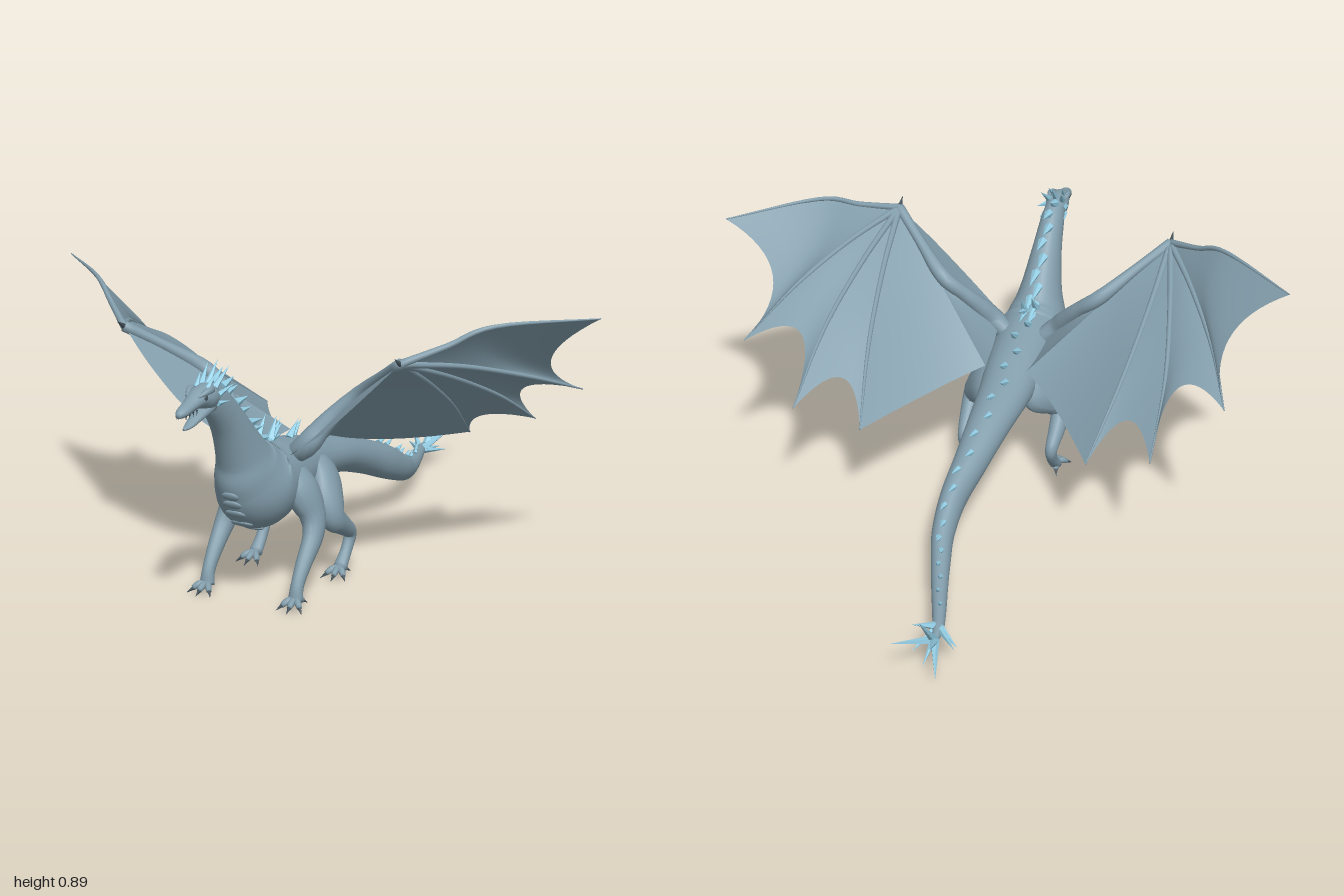
import * as THREE from 'three';

const V = (x, y, z) => new THREE.Vector3(x, y, z);
const UP = V(0, 1, 0);

export function createModel() {
  const model = new THREE.Group();
  model.name = 'wingedReptile';

  const mat = (name, color, opts = {}) => {
    const m = new THREE.MeshStandardMaterial({ color, ...opts });
    m.name = name;
    return m;
  };
  const skin = mat('slate skin', 0x839eac, { side: THREE.DoubleSide });
  const crystal = mat('pale blue spine', 0x9fdcf4, { flatShading: true });
  const clawDark = mat('dark claw', 0x47555e);

  const add = (parent, name, geo, material) => {
    const mesh = new THREE.Mesh(geo, material);
    mesh.name = name;
    parent.add(mesh);
    return mesh;
  };

  // Smooth spine with an elliptical section; each row is [x, y, z, halfWidth, halfHeight]
  function spine(rows) {
    const path = new THREE.CatmullRomCurve3(rows.map(r => V(r[0], r[1], r[2])), false, 'catmullrom', 0.5);
    const size = new THREE.CatmullRomCurve3(rows.map(r => V(r[3], r[4] ?? r[3], 0)), false, 'catmullrom', 0.5);
    return t => {
      const p = path.getPoint(t), s = size.getPoint(t), dir = path.getTangent(t);
      const side = V(1, 0, 0).addScaledVector(dir, -dir.x).normalize();
      return { p, dir, side, up: dir.clone().cross(side), rx: s.x, ry: s.y };
    };
  }

  // Closed skin around a spine
  function loft(rows, steps = 5, sides = 12) {
    const at = spine(rows), n = (rows.length - 1) * steps, pos = [], idx = [];
    for (let i = 0; i <= n; i++) {
      const f = at(i / n);
      for (let j = 0; j < sides; j++) {
        const a = j / sides * Math.PI * 2;
        const q = f.p.clone().addScaledVector(f.side, Math.cos(a) * f.rx).addScaledVector(f.up, Math.sin(a) * f.ry);
        pos.push(q.x, q.y, q.z);
      }
    }
    for (let i = 0; i < n; i++) for (let j = 0; j < sides; j++) {
      const k = (j + 1) % sides, a = i * sides, b = a + sides;
      idx.push(a + j, a + k, b + j, a + k, b + k, b + j);
    }
    const first = pos.length / 3, s = at(0).p, e = at(1).p;
    pos.push(s.x, s.y, s.z, e.x, e.y, e.z);
    for (let j = 0; j < sides; j++) {
      const k = (j + 1) % sides;
      idx.push(first, k, j, first + 1, n * sides + j, n * sides + k);
    }
    return surface(pos, idx);
  }

  function surface(pos, idx) {
    const g = new THREE.BufferGeometry();
    g.setAttribute('position', new THREE.Float32BufferAttribute(pos, 3));
    g.setIndex(idx);
    g.computeVertexNormals();
    return g;
  }

  // Pointed cone from base to tip
  function spike(parent, name, base, tip, r, material = crystal, sides = 5) {
    const d = tip.clone().sub(base), len = d.length();
    const mesh = add(parent, name, new THREE.ConeGeometry(r, len, sides).translate(0, len / 2, 0), material);
    mesh.position.copy(base);
    mesh.quaternion.setFromUnitVectors(UP, d.normalize());
  }

  // Tail, trunk and neck
  const bodyRows = [
    [-0.07, 0.07, -0.86, 0.004], [-0.065, 0.073, -0.78, 0.016], [-0.045, 0.074, -0.7, 0.021, 0.023],
    [-0.01, 0.083, -0.58, 0.026, 0.029], [0.02, 0.103, -0.47, 0.031, 0.038], [0.042, 0.14, -0.37, 0.036, 0.046],
    [0.044, 0.195, -0.25, 0.043, 0.056], [0.026, 0.25, -0.12, 0.055, 0.057], [0.01, 0.302, 0.03, 0.07, 0.06],
    [0, 0.333, 0.18, 0.086, 0.068], [0, 0.352, 0.32, 0.1, 0.09], [0, 0.355, 0.45, 0.113, 0.118],
    [0, 0.358, 0.55, 0.12, 0.137], [0, 0.42, 0.612, 0.094, 0.118], [0, 0.49, 0.65, 0.07, 0.086],
    [0, 0.6, 0.72, 0.05, 0.06], [0, 0.688, 0.8, 0.038, 0.048], [0, 0.71, 0.855, 0.028, 0.028]];
  add(model, 'body', loft(bodyRows, 6, 24), skin);

  // Spines along the back, alternating sides: shrinking to the tail, long on neck and shoulders
  const at = spine(bodyRows), last = bodyRows.length - 1;
  for (let i = 2.2, k = 0; i < 16.3; i += i < 10.9 ? 0.48 : 0.38, k++) {
    const f = at(i / last), tail = i < 10.9, w = k % 2 ? 1 : -1;
    const size = tail ? 0.03 + 0.05 * (i - 2.2) / 8.7 : 0.1 - 0.008 * Math.abs(i - 13);
    const base = f.p.clone().addScaledVector(f.up, f.ry * 0.95).addScaledVector(f.side, w * f.rx * 0.13);
    const dir = f.up.clone().multiplyScalar(tail ? 0.6 : 0.8).addScaledVector(f.dir, tail ? -0.8 : -0.6).normalize();
    spike(model, tail ? 'tailSpine' : 'neckSpine', base, base.clone().addScaledVector(dir, size), tail ? 0.004 + size * 0.14 : 0.016);
  }

  // Low overlapping chest plates
  for (let i = 11.3; i < 13.2; i += 0.3) {
    const f = at(i / last);
    const plate = add(model, 'chestPlate', new THREE.SphereGeometry(1, 14, 8), skin);
    plate.position.copy(f.p).addScaledVector(f.up, -f.ry * 0.97);
    plate.scale.set(f.rx * 0.32, 0.008, 0.018);
    plate.quaternion.setFromUnitVectors(V(0, 0, 1), f.dir);
  }

  // Cluster of crystal spikes at the tail end
  const tailTips = [[-0.125, 0.065, -1], [0.02, 0.15, -0.975], [-0.06, 0.22, -0.945], [-0.15, 0.1, -0.89],
    [-0.145, 0.07, -0.84], [0, 0.12, -0.83], [-0.01, 0.05, -0.87], [-0.1, 0.15, -0.97], [-0.06, 0.04, -0.92]];
  tailTips.forEach((p, i) => spike(model, 'tailTipSpike',
    i < 3 || i === 7 ? V(-0.068, 0.07, -0.82) : V(-0.06, 0.073, -0.755), V(...p), 0.015));

  // Head
  const head = new THREE.Group();
  head.name = 'head';
  model.add(head);
  add(head, 'skull', loft([[0, 0.7, 0.79, 0.025, 0.03], [0, 0.71, 0.84, 0.04, 0.04], [0, 0.716, 0.885, 0.034, 0.03],
    [0, 0.707, 0.93, 0.024, 0.019], [0, 0.697, 0.975, 0.019, 0.015], [0, 0.692, 0.999, 0.008]], 5, 16), skin);
  add(head, 'lowerJaw', loft([[0, 0.682, 0.83, 0.03, 0.024], [0, 0.664, 0.89, 0.022, 0.014],
    [0, 0.648, 0.94, 0.014, 0.008], [0, 0.645, 0.968, 0.004]], 5, 12), skin);
  for (const s of [-1, 1]) {
    add(head, 'brow', loft([[s * 0.028, 0.735, 0.85, 0.008], [s * 0.03, 0.738, 0.88, 0.01],
      [s * 0.019, 0.728, 0.915, 0.003]], 4, 8), skin);
    const eye = add(head, 'eye', new THREE.SphereGeometry(0.008, 10, 8), clawDark);
    eye.position.set(s * 0.031, 0.722, 0.892);
    eye.scale.x = 0.5;
    for (let i = 0; i < 4; i++) {
      const z = 0.92 + i * 0.02;
      spike(head, 'tooth', V(s * 0.016, 0.692, z), V(s * 0.015, 0.676, z), 0.003, clawDark, 4);
    }
    // Horns and cheek spines
    spike(head, 'horn', V(s * 0.022, 0.735, 0.83), V(s * 0.036, 0.788, 0.765), 0.012);
    spike(head, 'horn', V(s * 0.018, 0.74, 0.865), V(s * 0.025, 0.778, 0.825), 0.009);
    spike(head, 'cheekSpine', V(s * 0.034, 0.715, 0.83), V(s * 0.05, 0.735, 0.765), 0.01);
    spike(head, 'cheekSpine', V(s * 0.033, 0.69, 0.83), V(s * 0.044, 0.685, 0.775), 0.009);
  }
  spike(head, 'crownHorn', V(0, 0.742, 0.83), V(0, 0.803, 0.77), 0.012);

  // Everything below is built for the left side and mirrored
  const left = new THREE.Group();
  left.name = 'leftLimbs';

  function foot(name, x, z) {
    [-0.65, 0.05, 0.75, Math.PI - 0.3].forEach((a, i) => {
      const len = i === 3 ? 0.03 : 0.045, dx = Math.sin(a), dz = Math.cos(a);
      const p = (d, y) => V(x + dx * d, y, z + dz * d);
      const row = (d, y, r) => [x + dx * d, y, z + dz * d, r];
      add(left, name + 'Toe', loft([row(0, 0.026, 0.012), row(len * 0.6, 0.024, 0.011), row(len, 0.014, 0.008)], 3, 8), skin);
      spike(left, name + 'Claw', p(len * 0.9, 0.016), p(len + 0.022, 0.001), 0.007, clawDark, 6);
    });
  }

  add(left, 'frontLeg', loft([[0.045, 0.42, 0.46, 0.025, 0.04], [0.098, 0.335, 0.458, 0.047, 0.064],
    [0.135, 0.25, 0.447, 0.039, 0.052], [0.152, 0.19, 0.475, 0.031, 0.037], [0.153, 0.12, 0.54, 0.024, 0.026],
    [0.153, 0.065, 0.58, 0.02, 0.021], [0.153, 0.022, 0.592, 0.024, 0.02]], 5, 14), skin);
  foot('frontFoot', 0.153, 0.592);
  add(left, 'hindLeg', loft([[0.03, 0.36, 0.235, 0.025, 0.04], [0.085, 0.32, 0.275, 0.044, 0.082],
    [0.13, 0.26, 0.33, 0.044, 0.066], [0.152, 0.21, 0.345, 0.036, 0.046], [0.155, 0.165, 0.285, 0.028, 0.032],
    [0.152, 0.12, 0.225, 0.021, 0.023], [0.15, 0.07, 0.245, 0.018, 0.019], [0.15, 0.022, 0.292, 0.022, 0.018]], 5, 14), skin);
  foot('hindFoot', 0.15, 0.295);

  // Wing arm
  const wrist = [0.465, 0.785, 0.53];
  add(left, 'wingArm', loft([[0.06, 0.42, 0.43, 0.03], [0.115, 0.465, 0.44, 0.037], [0.15, 0.515, 0.415, 0.031],
    [0.2, 0.575, 0.385, 0.025], [0.27, 0.635, 0.375, 0.025], [0.37, 0.715, 0.45, 0.017], [...wrist, 0.017]], 5, 12), skin);
  spike(left, 'wingThumbClaw', V(...wrist), V(0.465, 0.81, 0.57), 0.009, clawDark, 6);

  // Wing ribs from wrist outwards: four fingers, hip edge, arm, front edge
  const ribs = [
    [wrist, [0.57, 0.828, 0.435], [0.68, 0.877, 0.34], [0.92, 0.877, 0.12]],
    [wrist, [0.58, 0.74, 0.325], [0.695, 0.665, 0.1], [0.78, 0.58, -0.12]],
    [wrist, [0.52, 0.69, 0.285], [0.565, 0.57, 0.03], [0.58, 0.425, -0.235]],
    [wrist, [0.45, 0.665, 0.295], [0.42, 0.525, 0.05], [0.37, 0.36, -0.2]],
    [wrist, [0.365, 0.7, 0.44], [0.26, 0.6, 0.355], [0.07, 0.42, 0.2]],
    [wrist, [0.37, 0.715, 0.45], [0.255, 0.622, 0.378], [0.09, 0.445, 0.43]],
    [wrist, [0.36, 0.675, 0.55], [0.23, 0.55, 0.545], [0.08, 0.44, 0.49]]];
  // Middle points of the outer edges, curving inwards between the tips
  const scallops = [[0.75, 0.72, 0.075], [0.62, 0.585, -0.035], [0.47, 0.465, -0.075], [0.205, 0.385, 0.055],
    [0.08, 0.42, 0.32], [0.085, 0.44, 0.46]];

  const curves = ribs.map(r => new THREE.CatmullRomCurve3(r.map(p => V(...p))));
  ribs.slice(0, 4).forEach(r => add(left, 'wingFinger',
    loft(r.map((p, i) => [...p, [0.012, 0.009, 0.007, 0.002][i]]), 6, 8), skin));

  // Membrane panels stretched between neighbouring ribs
  scallops.forEach((mid, s) => {
    const a = curves[s], b = curves[s + 1], n = 16, pos = [], idx = [];
    const pull = V(...mid).sub(a.getPoint(1).lerp(b.getPoint(1), 0.5));
    for (let i = 0; i <= n; i++) for (let j = 0; j <= n; j++) {
      const u = i / n, v = j / n;
      const q = a.getPoint(u).lerp(b.getPoint(u), v).addScaledVector(pull, 4 * v * (1 - v) * u * u);
      pos.push(q.x, q.y, q.z);
      if (i < n && j < n) {
        const k = i * (n + 1) + j, m = k + n + 1;
        idx.push(k, m, k + 1, k + 1, m, m + 1);
      }
    }
    add(left, 'wingMembrane', surface(pos, idx), skin);
  });

  const right = left.clone();
  right.name = 'rightLimbs';
  right.scale.x = -1;
  model.add(left, right);
  return model;
}
